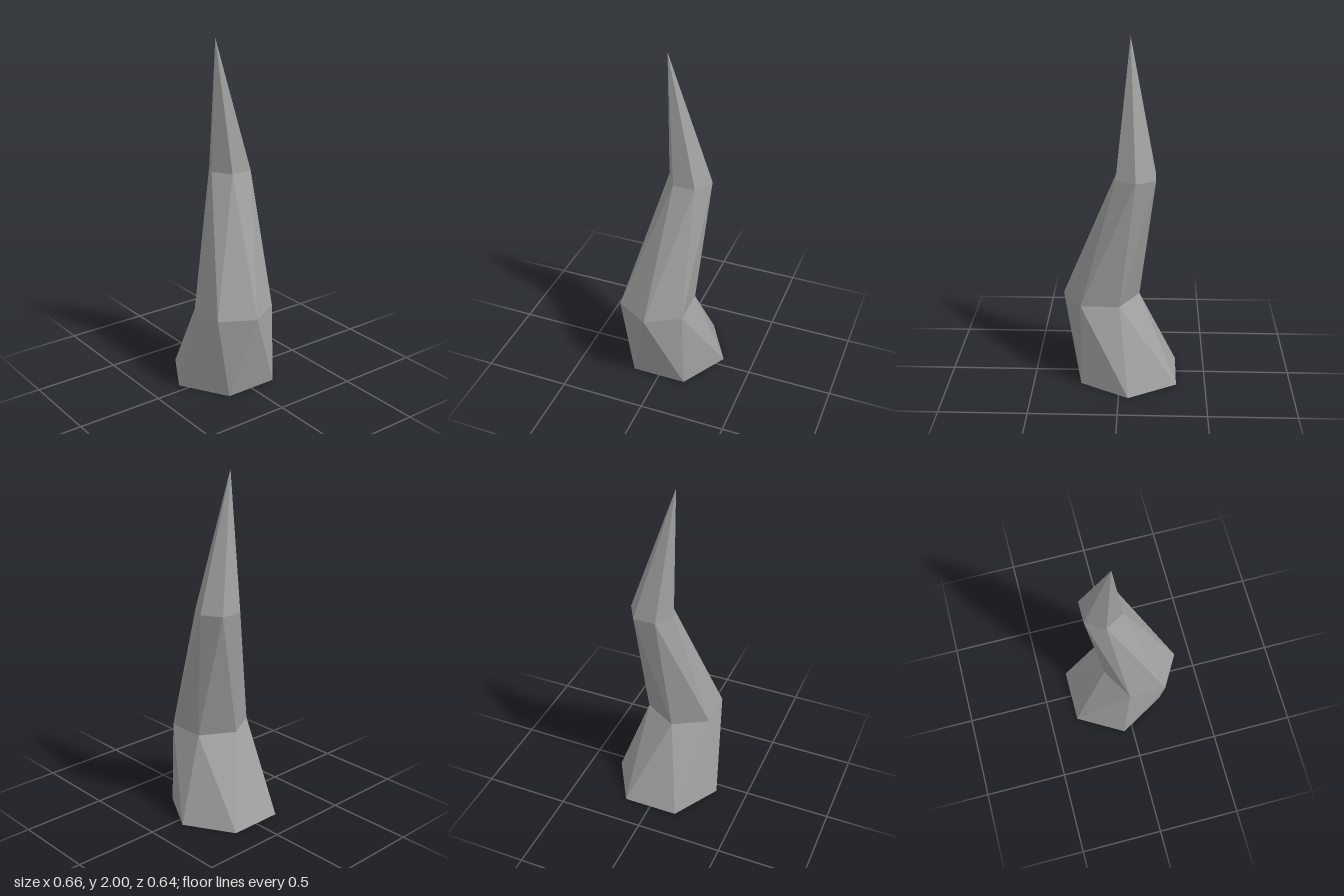
import * as THREE from 'three';

const SIDES = 6;

// Hexagonal cross-sections; each is turned half a side from the one below
const SECTIONS = [
  { x: -0.055, y: 0, z: 0, r: 0.32 },
  { x: 0.11, y: 0.49, z: 0.047, r: 0.222 },
  { x: -0.09, y: 1.247, z: -0.077, r: 0.128 },
];
const TIP = new THREE.Vector3(-0.055, 2, 0.047);

function makeRing({ x, y, z, r }, level) {
  return Array.from({ length: SIDES }, (_, k) => {
    const a = (k + (level + 1) / 2) * Math.PI * 2 / SIDES;
    return new THREE.Vector3(x + r * Math.cos(a), y, z + r * Math.sin(a));
  });
}

function hornGeometry() {
  const rings = SECTIONS.map(makeRing);
  const points = [];
  const base = new THREE.Vector3(SECTIONS[0].x, 0, SECTIONS[0].z);
  for (let k = 0; k < SIDES; k++) {
    const n = (k + 1) % SIDES;
    // underside
    points.push(base, rings[0][k], rings[0][n]);
    // zigzag bands between neighbouring rings
    for (let i = 0; i + 1 < rings.length; i++) {
      const low = rings[i], high = rings[i + 1];
      points.push(low[n], low[k], high[k], low[n], high[k], high[n]);
    }
    // pointed tip
    const top = rings[rings.length - 1];
    points.push(top[n], top[k], TIP);
  }
  const geometry = new THREE.BufferGeometry().setFromPoints(points);
  geometry.computeVertexNormals();
  return geometry;
}

export function createModel() {
  const stone = new THREE.MeshStandardMaterial({ color: 0xa0a0a0, flatShading: true });
  stone.name = 'grey';
  const spike = new THREE.Mesh(hornGeometry(), stone);
  spike.name = 'twistedSpike';
  const group = new THREE.Group();
  group.name = 'spike';
  group.add(spike);
  return group;
}
